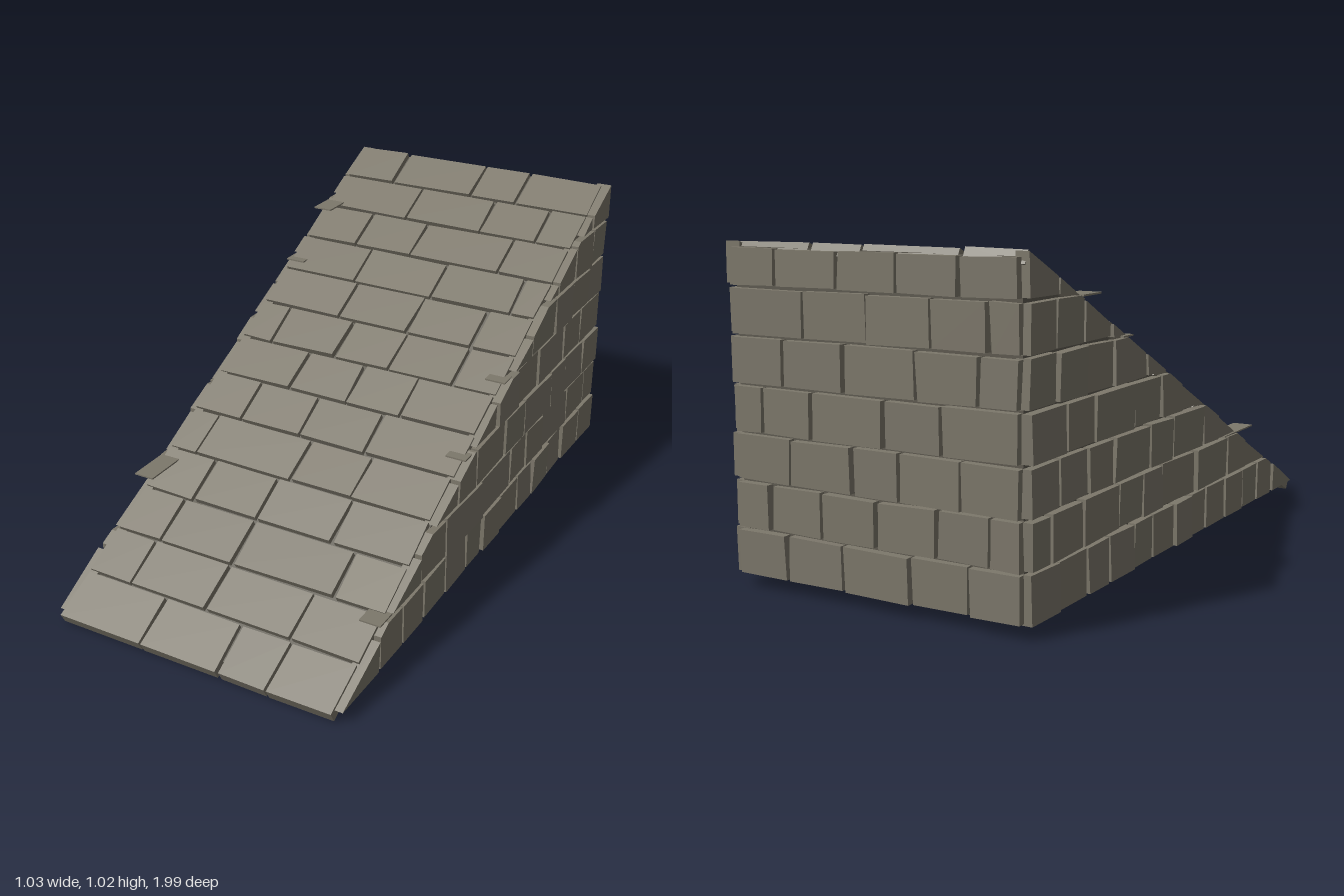
import * as THREE from 'three';

const SLOPE = 0.5026, ANGLE = Math.atan(SLOPE), BASE = 0.04;
const slopeY = (z) => BASE + (1 - z) * SLOPE;

let seed = 7;
const rand = () => ((seed = (seed * 16807) % 2147483647) / 2147483647);
const jitter = (a) => (rand() - 0.5) * 2 * a;

// slightly uneven four-sided outline of one brick
function outline(a0, a1, b0, b1, j) {
  return [[a0, b0], [a1, b0], [a1, b1], [a0, b1]].map(([a, b]) => [a + jitter(j), b + jitter(j * 0.6)]);
}

// keep the part of a (z, y) outline that lies under the ramp
function clipUnderRamp(pts, drop) {
  const h = ([z, y]) => slopeY(z) - drop - y;
  const out = [];
  pts.forEach((p, i) => {
    const q = pts[(i + 1) % pts.length], hp = h(p), hq = h(q);
    if (hp >= 0) out.push(p);
    if (hp * hq < 0) {
      const t = hp / (hp - hq);
      out.push([p[0] + (q[0] - p[0]) * t, p[1] + (q[1] - p[1]) * t]);
    }
  });
  return out;
}

// prism from an outline, from depth z0 to z1, with a slightly tilted outer face
function prism(pts, z0, z1, tilt) {
  const shape = new THREE.Shape(pts.map(([x, y]) => new THREE.Vector2(x, y)));
  const geo = new THREE.ExtrudeGeometry(shape, { depth: z1 - z0, bevelEnabled: false });
  geo.translate(0, 0, z0);
  geo.computeBoundingBox();
  const c = geo.boundingBox.getCenter(new THREE.Vector3());
  const tx = jitter(tilt), ty = jitter(tilt), p = geo.attributes.position;
  for (let i = 0; i < p.count; i++) {
    if (p.getZ(i) > (z0 + z1) / 2) p.setZ(i, p.getZ(i) + (p.getX(i) - c.x) * tx + (p.getY(i) - c.y) * ty);
  }
  geo.computeVertexNormals();
  return geo;
}

export function createModel() {
  const model = new THREE.Group();
  model.name = 'brickRamp';
  const brick = new THREE.MeshStandardMaterial({ color: 0x7d786b });
  brick.name = 'stone brick';
  const mortar = new THREE.MeshStandardMaterial({ color: 0x5f5b51 });
  mortar.name = 'mortar';

  const addGroup = (name) => {
    const g = new THREE.Group();
    g.name = name;
    model.add(g);
    return g;
  };
  const addMesh = (parent, name, geo, mat) => {
    const m = new THREE.Mesh(geo, mat);
    m.name = name;
    parent.add(m);
    return m;
  };

  // solid wedge behind the bricks
  const core = addMesh(model, 'core',
    prism([[-0.95, BASE], [0.965, BASE], [0.965, slopeY(-0.965) - 0.025]], -0.48, 0.48, 0), mortar);
  core.rotation.y = Math.PI / 2;

  // paving of the ramp, rows from bottom to top
  const paving = addGroup('rampPaving');
  paving.position.set(0, BASE, 1);
  paving.rotation.x = ANGLE - Math.PI / 2;
  const joints = [
    [-0.185, 0.09, 0.26], [-0.33, -0.05, 0.25], [-0.32, -0.05, 0.31], [-0.3, -0.06, 0.215],
    [-0.385, -0.025, 0.2], [-0.31, -0.08, 0.16], [-0.21, 0.01, 0.21], [-0.375, -0.12, 0.09, 0.325],
    [-0.19, 0.08, 0.32], [-0.21, 0.095, 0.39], [-0.29, -0.065, 0.275], [-0.16, 0.135, 0.35],
    [-0.295, 0.03, 0.205],
  ];
  const pitch = 1.96 / Math.cos(ANGLE) / joints.length;
  joints.forEach((row, r) => {
    const xs = [-0.492, ...row, 0.485];
    for (let i = 0; i + 1 < xs.length; i++) {
      const o = outline(xs[i] + 0.006, xs[i + 1] - 0.006,
        r * pitch + (r ? 0.006 : 0), (r + 1) * pitch - 0.006, 0.004);
      addMesh(paving, 'pavingBrick', prism(o, -0.042, -0.001 - rand() * 0.004, 0.012), brick);
    }
  });

  // side walls: courses of bricks cut off by the ramp
  const rowH = 0.142;
  const sideJoints = [
    [0.76, 0.62, 0.48, 0.32, 0.165, 0.05, -0.09, -0.24, -0.37, -0.53, -0.66, -0.82],
    [0.5, 0.33, 0.07, -0.17, -0.31, -0.46, -0.69, -0.87],
    [0.25, 0.12, -0.11, -0.27, -0.51, -0.65, -0.82],
    [-0.04, -0.2, -0.38, -0.62, -0.78],
    [-0.3, -0.51, -0.67, -0.83],
    [-0.52, -0.68, -0.84],
    [-0.82],
  ];
  for (const side of [1, -1]) {
    const wall = addGroup(side > 0 ? 'leftWall' : 'rightWall');
    wall.rotation.y = side * Math.PI / 2;
    sideJoints.forEach((row, r) => {
      const zs = [1, ...row, -0.975];
      const y0 = BASE + r * rowH;
      for (let i = 0; i + 1 < zs.length; i++) {
        const o = outline(zs[i + 1] + 0.006, zs[i] - 0.006, y0 + (r ? 0.005 : 0), y0 + rowH - 0.006, 0.004);
        o[0][1] = Math.max(o[0][1], BASE);
        o[1][1] = Math.max(o[1][1], BASE);
        const cut = clipUnderRamp(o, 0.012);
        if (cut.length < 3) continue;
        addMesh(wall, 'wallBrick',
          prism(cut.map(([z, y]) => [-side * z, y]), 0.46, 0.501 + rand() * 0.01, 0.03), brick);
      }
    });
  }

  // back wall
  const back = addGroup('backWall');
  back.rotation.y = Math.PI;
  const backJoints = [
    [-0.3, -0.1, 0.13, 0.32], [-0.36, -0.17, 0.02, 0.22, 0.39], [-0.28, -0.06, 0.1, 0.3],
    [-0.38, -0.2, 0.05, 0.24], [-0.3, -0.08, 0.16, 0.36], [-0.22, 0.0, 0.21, 0.39], [-0.32, -0.1, 0.1, 0.3],
  ];
  backJoints.forEach((row, r) => {
    const xs = [-0.485, ...row, 0.485];
    const y0 = BASE + r * rowH;
    const top = Math.min(y0 + rowH - 0.006, 1.0);
    for (let i = 0; i + 1 < xs.length; i++) {
      const o = outline(xs[i] + 0.006, xs[i + 1] - 0.006, y0 + 0.004, top, 0.004);
      addMesh(back, 'backBrick', prism(o, 0.95, 0.985 + rand() * 0.008, 0.02), brick);
    }
  });

  // thin level slabs sticking out of the ramp edges: x, y, z, length
  const slabs = addGroup('edgeSlabs');
  [[-0.465, 0.32, 0.45, 0.25], [-0.465, 0.745, -0.41, 0.06], [-0.465, 0.883, -0.63, 0.1],
    [0.465, 0.185, 0.7, 0.1], [0.465, 0.6, -0.12, 0.06], [0.465, 0.455, 0.17, 0.05]].forEach(([x, y, z, l]) => {
    const s = addMesh(slabs, 'edgeSlab', new THREE.BoxGeometry(0.07, 0.005, l), brick);
    s.position.set(x, y, z);
  });
  return model;
}
